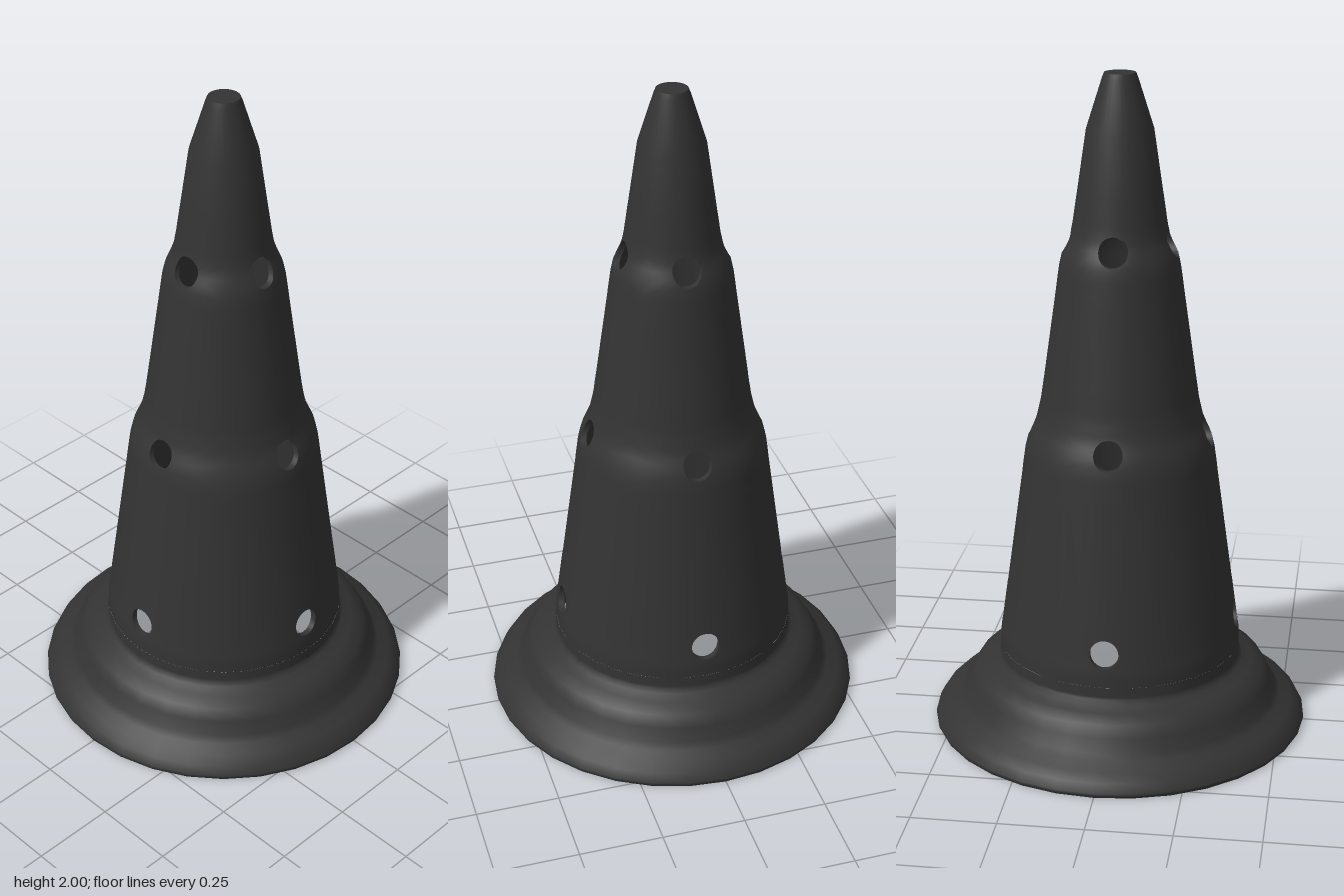
import * as THREE from 'three';

const SIDES = 32, WALL = 0.018, HOLE_R = 0.043;
const material = new THREE.MeshStandardMaterial({ color: 0x333333 });

// Stepped outer wall of the cone: [radius, height]
const WALL_PROFILE = [
  [0.369, 0.24], [0.367, 0.29], [0.36, 0.335], [0.285, 0.875], [0.275, 0.915], [0.25, 0.97], [0.236, 1.03],
  [0.178, 1.44], [0.17, 1.475], [0.147, 1.525], [0.139, 1.56], [0.098, 1.84], [0.052, 1.985],
];
// Bands that carry the holes: [bottom, hole centre, top]
const BANDS = [[0.25, 0.35, 0.45], [0.8, 0.935, 1.1], [1.36, 1.51, 1.66]];

function wallRadius(y) {
  let i = 1;
  while (i < WALL_PROFILE.length - 1 && WALL_PROFILE[i][1] < y) i++;
  const [r0, y0] = WALL_PROFILE[i - 1], [r1, y1] = WALL_PROFILE[i];
  return r0 + (r1 - r0) * (y - y0) / (y1 - y0);
}

function lathe(name, points) {
  const geometry = new THREE.LatheGeometry(points.map(p => new THREE.Vector2(...p)), SIDES);
  const mesh = new THREE.Mesh(geometry, material);
  mesh.name = name;
  return mesh;
}

// Outer (inset 0) or inner wall profile between two heights
function section(y0, y1, inset) {
  const middle = WALL_PROFILE.filter(p => p[1] > y0 + 0.005 && p[1] < y1 - 0.005).map(p => [p[0] - inset, p[1]]);
  return [[wallRadius(y0) - inset, y0], ...middle, [wallRadius(y1) - inset, y1]];
}

// Grid of quads; point(k, i) returns { position, normal }
function gridMesh(name, rows, cols, point) {
  const positions = [], normals = [], index = [];
  for (let k = 0; k <= rows; k++) for (let i = 0; i <= cols; i++) {
    const p = point(k, i);
    positions.push(...p.position);
    normals.push(...p.normal);
    if (k < rows && i < cols) {
      const a = k * (cols + 1) + i, b = a + cols + 1;
      index.push(a, b, b + 1, a, b + 1, a + 1);
    }
  }
  const geometry = new THREE.BufferGeometry();
  geometry.setAttribute('position', new THREE.Float32BufferAttribute(positions, 3));
  geometry.setAttribute('normal', new THREE.Float32BufferAttribute(normals, 3));
  geometry.setIndex(index);
  const mesh = new THREE.Mesh(geometry, material);
  mesh.name = name;
  return mesh;
}

// Point i of 32 around the edge of the square from -1 to 1, counter-clockwise
function squareEdge(i) {
  const side = Math.floor((i % 32) / 8), t = (i % 8) / 4 - 1;
  return [[t, -1], [1, t], [-t, 1], [-1, -t]][side];
}

// Quarter of a wall band with a round hole in its middle
function holePanel([bottom, centre, top]) {
  const panel = new THREE.Group();
  panel.name = 'holePanel';
  const RINGS = 10;

  const wallPoint = (k, i, inset) => {
    const [sx, sy] = squareEdge(i);
    const t = Math.atan2(sy, sx);
    const holeY = centre + HOLE_R * Math.sin(t);
    const holeA = Math.asin(HOLE_R * Math.cos(t) / (wallRadius(holeY) - inset));
    const edgeY = bottom + (top - bottom) * (sy + 1) / 2;
    const a = THREE.MathUtils.lerp(holeA, sx * Math.PI / 4, k / RINGS);
    const y = THREE.MathUtils.lerp(holeY, edgeY, k / RINGS);
    const r = wallRadius(y) - inset;
    const slope = (wallRadius(y + 0.015) - wallRadius(y - 0.015)) / 0.03;
    const normal = new THREE.Vector3(Math.sin(a), -slope, Math.cos(a)).normalize();
    if (inset) normal.negate();
    return { position: [r * Math.sin(a), y, r * Math.cos(a)], normal: normal.toArray() };
  };

  panel.add(gridMesh('outerWall', RINGS, 32, (k, i) => wallPoint(k, i, 0)));
  panel.add(gridMesh('innerWall', RINGS, 32, (k, i) => wallPoint(k, 32 - i, WALL)));
  panel.add(gridMesh('holeEdge', 1, 32, (k, i) => {
    const [sx, sy] = squareEdge(i), length = Math.hypot(sx, sy);
    return { position: wallPoint(0, i, k ? 0 : WALL).position, normal: [-sx / length, -sy / length, 0] };
  }));
  return panel;
}

export function createModel() {
  const model = new THREE.Group();
  model.name = 'trainingCone';

  // Flared base, outside, rim and underside
  model.add(lathe('baseOutside', [
    [0.571, 0], [0.575, 0.008], [0.574, 0.014], [0.56, 0.04], [0.535, 0.062], [0.5, 0.077], [0.483, 0.095],
    [0.465, 0.135], [0.445, 0.168], [0.41, 0.188], [0.38, 0.2], [0.371, 0.212], [0.37, 0.22], [0.369, 0.25],
  ]));
  model.add(lathe('baseRim', [[0.555, 0], [0.571, 0]]));
  model.add(lathe('baseInside', [
    [0.351, 0.25], [0.352, 0.21], [0.363, 0.186], [0.4, 0.17], [0.43, 0.152], [0.448, 0.12],
    [0.468, 0.08], [0.49, 0.062], [0.525, 0.046], [0.545, 0.028], [0.555, 0],
  ]));

  // Plain wall sections between the hole bands
  for (const [y0, y1] of [[0.45, 0.8], [1.1, 1.36]]) {
    model.add(lathe('wallOutside', section(y0, y1, 0)));
    model.add(lathe('wallInside', section(y0, y1, WALL).reverse()));
  }

  // Closed tip
  model.add(lathe('tipOutside', [...section(1.66, 1.985, 0), [0.046, 2]]));
  model.add(lathe('tipCap', [[0.046, 2], [0, 2]]));
  model.add(lathe('tipInside', [[0, 1.982], ...section(1.66, 1.975, WALL).reverse()]));

  // Three rows of four holes
  for (const band of BANDS) for (let q = 0; q < 4; q++) {
    const panel = holePanel(band);
    panel.rotation.y = q * Math.PI / 2;
    model.add(panel);
  }
  return model;
}
